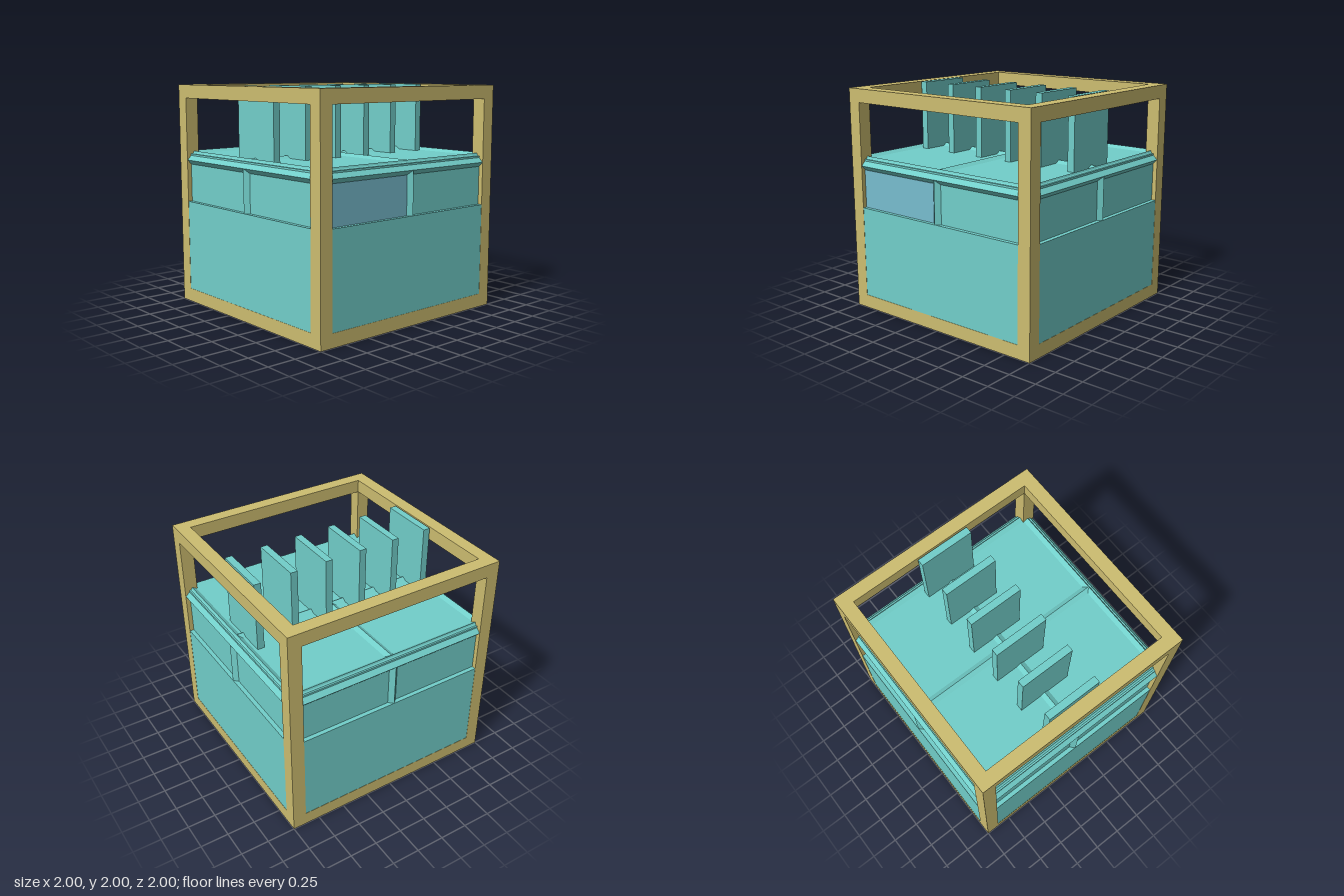
import * as THREE from 'three';

const teal = new THREE.MeshStandardMaterial({ color: 0x72cfca });
teal.name = 'teal';
const sand = new THREE.MeshStandardMaterial({ color: 0xcdbd70 });
sand.name = 'sand';
const blue = new THREE.MeshStandardMaterial({ color: 0x78bdcf });
blue.name = 'blue';

function add(parent, name, geometry, material, x = 0, y = 0, z = 0) {
  const mesh = new THREE.Mesh(geometry, material);
  mesh.name = name;
  mesh.position.set(x, y, z);
  parent.add(mesh);
  return mesh;
}

// Triangular ridge running along +z with its apex towards +y
function ridgeGeometry(height, length) {
  const shape = new THREE.Shape();
  shape.moveTo(-0.04, 0);
  shape.lineTo(0.04, 0);
  shape.lineTo(0, height);
  return new THREE.ExtrudeGeometry(shape, { depth: length, bevelEnabled: false });
}

export function createModel() {
  const model = new THREE.Group();
  model.name = 'framedCube';

  // Outer frame: four posts and two squares of rails
  const frame = new THREE.Group();
  frame.name = 'frame';
  model.add(frame);
  const t = 0.12, c = 1 - t / 2, span = 2 - 2 * t;
  for (const a of [-c, c]) {
    for (const b of [-c, c]) add(frame, 'post', new THREE.BoxGeometry(t, 2, t), sand, a, 1, b);
    for (const y of [t / 2, 2 - t / 2]) {
      add(frame, 'railAlongX', new THREE.BoxGeometry(span, t, t), sand, 0, y, a);
      add(frame, 'railAlongZ', new THREE.BoxGeometry(t, t, span), sand, a, y, 0);
    }
  }

  // Solid lower body, and the recessed core above it
  add(model, 'lowerBody', new THREE.BoxGeometry(1.996, 0.938, 1.996), teal, 0, 0.471, 0);
  add(model, 'upperCore', new THREE.BoxGeometry(1.92, 0.45, 1.92), teal, 0, 1.15, 0);

  // Bevelled rim round the top, a square ring swept from its section
  const rimProfile = [
    [0.96, 1.28], [0.998, 1.32], [0.935, 1.385], [0.93, 1.4], [0.89, 1.375],
  ].map(([r, y]) => new THREE.Vector2(r * Math.SQRT2, y));
  const rim = new THREE.LatheGeometry(rimProfile, 4, Math.PI / 4).toNonIndexed();
  rim.computeVertexNormals();
  add(model, 'rim', rim, teal);

  // Upright dividers at the middle of each side
  const dividerGeometry = ridgeGeometry(0.038, 0.38).rotateX(-Math.PI / 2);
  dividerGeometry.translate(0, 0.94, -0.96);
  for (let i = 0; i < 4; i++) {
    add(model, 'divider', dividerGeometry, teal).rotation.y = i * Math.PI / 2;
  }

  // Crossed ridges on the top
  const crossGeometry = ridgeGeometry(0.024, 1.84).translate(0, 1.375, -0.92);
  for (let i = 0; i < 2; i++) {
    add(model, 'topRidge', crossGeometry, teal).rotation.y = i * Math.PI / 2;
  }

  // One tinted panel on the left side, towards the front
  add(model, 'tintedPanel', new THREE.BoxGeometry(0.004, 0.34, 0.84), blue, 0.961, 1.11, 0.46);

  // Row of six upright fins
  for (let i = 0; i < 6; i++) {
    add(model, 'fin', new THREE.BoxGeometry(0.5, 0.63, 0.064), teal, 0, 1.685, -0.833 + i * 0.3332);
  }

  return model;
}
